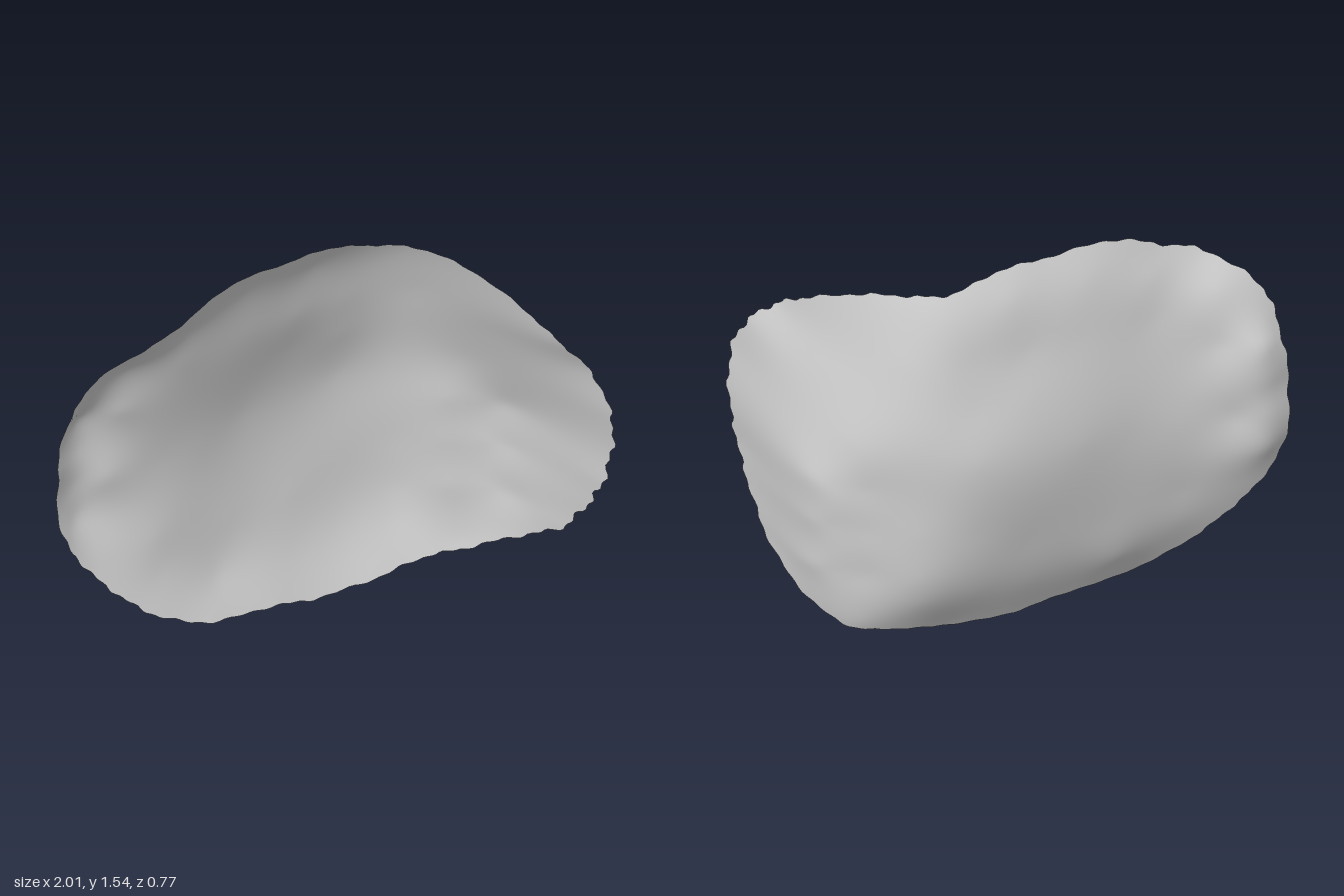
import * as THREE from 'three';

// Rim of the shell, counter-clockwise seen from the front
const RIM = [
  [1, 0.75, 0.35], [0.985, 0.93, 0.38], [0.93, 1.09, 0.31], [0.84, 1.19, 0.25], [0.75, 1.28, 0.13],
  [0.58, 1.40, -0.06], [0.42, 1.45, -0.18], [0.28, 1.465, -0.22], [0.1, 1.52, -0.18], [-0.1, 1.53, -0.13],
  [-0.35, 1.53, -0.06], [-0.55, 1.45, 0], [-0.72, 1.385, 0.025], [-0.91, 1.24, -0.02], [-0.97, 1.08, -0.05],
  [-1, 0.85, -0.08], [-0.98, 0.57, -0.07], [-0.88, 0.4, -0.07], [-0.76, 0.27, -0.05], [-0.62, 0.16, -0.04],
  [-0.4, 0.07, -0.06], [-0.15, 0.04, -0.12], [0.05, 0.005, -0.16], [0.3, 0.01, -0.2], [0.5, 0.035, -0.23],
  [0.65, 0.05, -0.21], [0.8, 0.14, -0.09], [0.9, 0.27, 0.1], [0.95, 0.43, 0.22], [0.98, 0.58, 0.31],
];

// Points inside the sheet: middle, lower and upper areas
const INNER = [
  [-0.8, 0.75, -0.13], [-0.6, 0.75, -0.155], [-0.4, 0.75, -0.205], [-0.2, 0.8, -0.285],
  [0, 0.85, -0.343], [0.2, 0.82, -0.382], [-0.8, 0.45, -0.1],
  [-0.6, 0.45, -0.125], [-0.3, 0.4, -0.21], [0, 0.4, -0.295], [0.2, 0.2, -0.295], [0.2, 0.5, -0.36],
  [0, 0.18, -0.235], [-0.35, 0.2, -0.155], [-0.6, 0.3, -0.1], [0.4, 0.18, -0.31], [0.62, 0.15, -0.245],
  [-0.75, 1.05, -0.105], [-0.75, 1.27, -0.06], [-0.5, 1.2, -0.11], [-0.5, 1.36, -0.075], [-0.2, 1.03, -0.245],
  [-0.2, 1.2, -0.205], [-0.25, 1.42, -0.145], [0, 1.03, -0.305], [0, 1.2, -0.255], [0.05, 1.42, -0.225],
  [0.2, 1.02, -0.335], [0.2, 1.2, -0.295], [0.3, 1.36, -0.262], [0.5, 1, -0.29], [0.46, 1.2, -0.255],
  [0.65, 0.87, -0.225], [0.72, 1.08, -0.03],
];

// Upright bend near the left end
for (const y of [0.3, 0.5, 0.68]) {
  for (const [x, z] of [[0.42, -0.35], [0.6, -0.27], [0.72, -0.21], [0.79, -0.155], [0.83, -0.08], [0.88, 0.035]]) {
    INNER.push([x, y, y < 0.4 ? z + 0.01 : z]);
  }
}
// Small lip along the right end
for (const y of [0.6, 0.75, 0.9, 1.05]) INNER.push([-0.92, y, -0.14 + 0.15 * (y - 0.78) ** 2]);

// Solves a small linear system by elimination with pivoting
function solve(a, b) {
  const n = b.length;
  const m = a.map((row, i) => [...row, b[i]]);
  for (let c = 0; c < n; c++) {
    let p = c;
    for (let r = c + 1; r < n; r++) if (Math.abs(m[r][c]) > Math.abs(m[p][c])) p = r;
    [m[c], m[p]] = [m[p], m[c]];
    for (let r = 0; r < n; r++) {
      if (r === c) continue;
      const f = m[r][c] / m[c][c];
      for (let k = c; k <= n; k++) m[r][k] -= f * m[c][k];
    }
  }
  return m.map((row, i) => row[n] / row[i]);
}

// Smooth thin-plate surface z(x, y) through the given points
function thinPlate(points) {
  const basis = (x, y) => [
    ...points.map(([px, py]) => {
      const r2 = (x - px) ** 2 + (y - py) ** 2;
      return r2 > 0 ? r2 * Math.log(r2) : 0;
    }),
    1, x, y,
  ];
  // a little softening keeps the sheet free of dents
  const rows = points.map(([x, y], i) => basis(x, y).map((v, j) => (i === j ? v + 0.004 : v)));
  const sums = [() => 1, (p) => p[0], (p) => p[1]].map((f) => [...points.map(f), 0, 0, 0]);
  const weights = solve([...rows, ...sums], [...points.map((p) => p[2]), 0, 0, 0]);
  return (x, y) => basis(x, y).reduce((sum, v, i) => sum + v * weights[i], 0);
}

function shellGeometry(rings = 40, segments = 300) {
  const rim = new THREE.CatmullRomCurve3(RIM.map((p) => new THREE.Vector3(...p)), true);
  const edge = Array.from({ length: segments }, (_, j) => rim.getPoint(j / segments));
  const depth = thinPlate([...RIM, ...INNER]);
  const cx = 0.05, cy = 0.76;
  const positions = [cx, cy, depth(cx, cy)];
  const index = [];

  for (let i = 1; i <= rings; i++) {
    const s = i / rings;
    for (let j = 0; j < segments; j++) {
      // slightly ragged edge, fading inward
      const a = (j / segments) * Math.PI * 2;
      const r = s * (1 + 0.007 * s ** 20 * Math.sin(47 * a) * Math.sin(18 * a + 1));
      const x = cx + (edge[j].x - cx) * r;
      const y = cy + (edge[j].y - cy) * r;
      positions.push(x, y, depth(x, y));
      const k = (j + 1) % segments;
      const row = 1 + (i - 1) * segments;
      const prev = row - segments;
      if (i === 1) index.push(0, row + j, row + k);
      else index.push(prev + j, row + j, row + k, prev + j, row + k, prev + k);
    }
  }
  const geometry = new THREE.BufferGeometry();
  geometry.setAttribute('position', new THREE.Float32BufferAttribute(positions, 3));
  geometry.setIndex(index);
  geometry.computeVertexNormals();
  return geometry;
}

export function createModel() {
  const group = new THREE.Group();
  group.name = 'curvedShell';
  const material = new THREE.MeshStandardMaterial({ color: 0xcccccc, side: THREE.DoubleSide });
  const shell = new THREE.Mesh(shellGeometry(), material);
  shell.name = 'shell';
  group.add(shell);
  return group;
}
